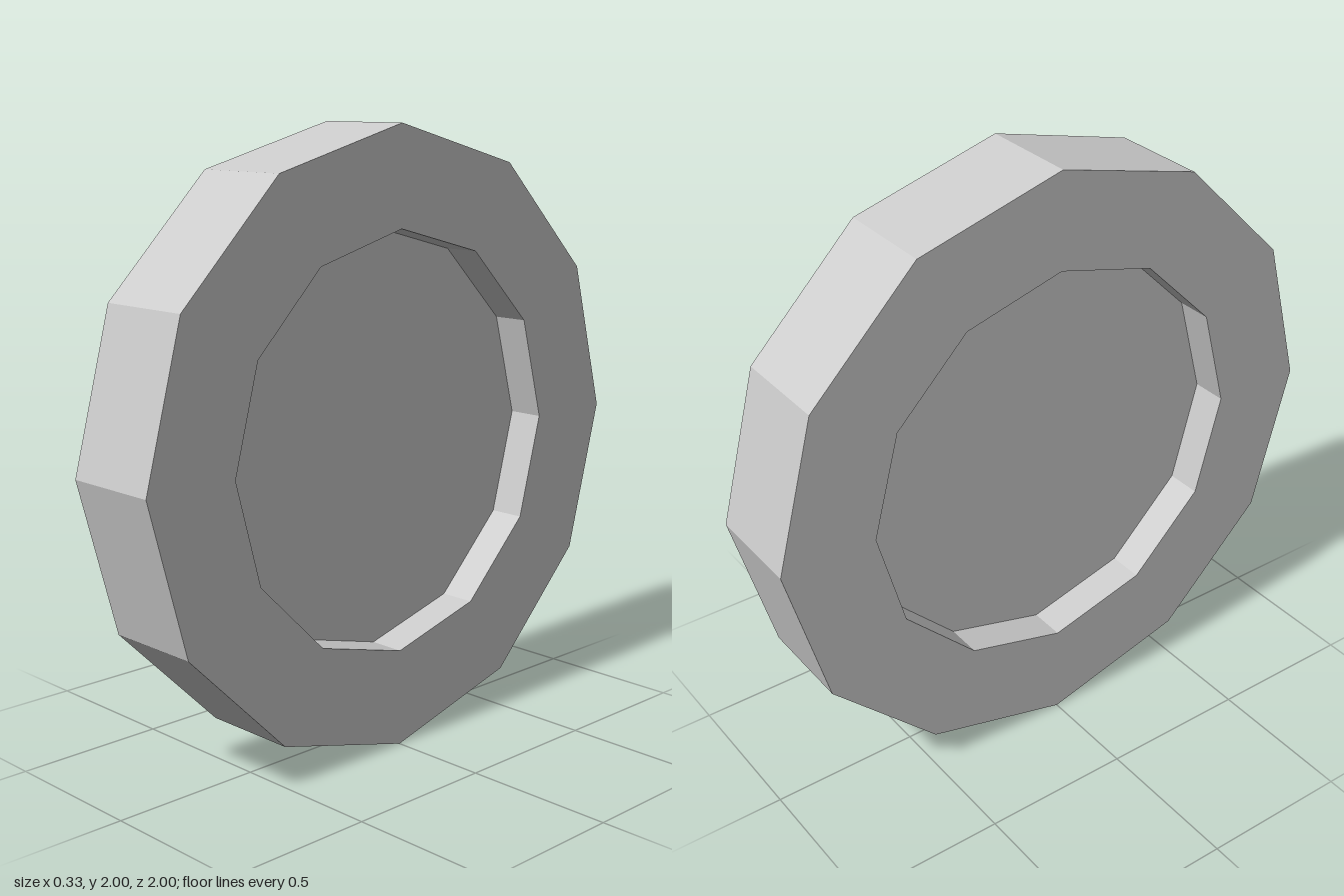
import * as THREE from 'three';

const SIDES = 12;
const RADIUS = 1;
const HUB_RADIUS = 0.68;
const HALF_WIDTH = 0.167;
const HUB_HALF_WIDTH = 0.045;

export function createModel() {
  const model = new THREE.Group();
  model.name = 'wheel';
  const material = new THREE.MeshStandardMaterial({ color: 0xcccccc, flatShading: true });

  // Tyre: recess wall, side face, tread, side face, recess wall
  const profile = [
    [HUB_RADIUS, -HUB_HALF_WIDTH],
    [HUB_RADIUS, -HALF_WIDTH],
    [RADIUS, -HALF_WIDTH],
    [RADIUS, HALF_WIDTH],
    [HUB_RADIUS, HALF_WIDTH],
    [HUB_RADIUS, HUB_HALF_WIDTH],
  ].map(([r, h]) => new THREE.Vector2(r, h));
  const tyre = new THREE.Mesh(new THREE.LatheGeometry(profile, SIDES), material);
  tyre.name = 'tyre';

  // Hub: flat disc sunk into both sides
  const hub = new THREE.Mesh(
    new THREE.CylinderGeometry(HUB_RADIUS, HUB_RADIUS, HUB_HALF_WIDTH * 2, SIDES),
    material
  );
  hub.name = 'hubDisc';

  // Lay the axle along x and stand the wheel on the ground
  for (const part of [tyre, hub]) {
    part.geometry.rotateZ(Math.PI / 2);
    part.position.y = RADIUS;
    model.add(part);
  }
  return model;
}
